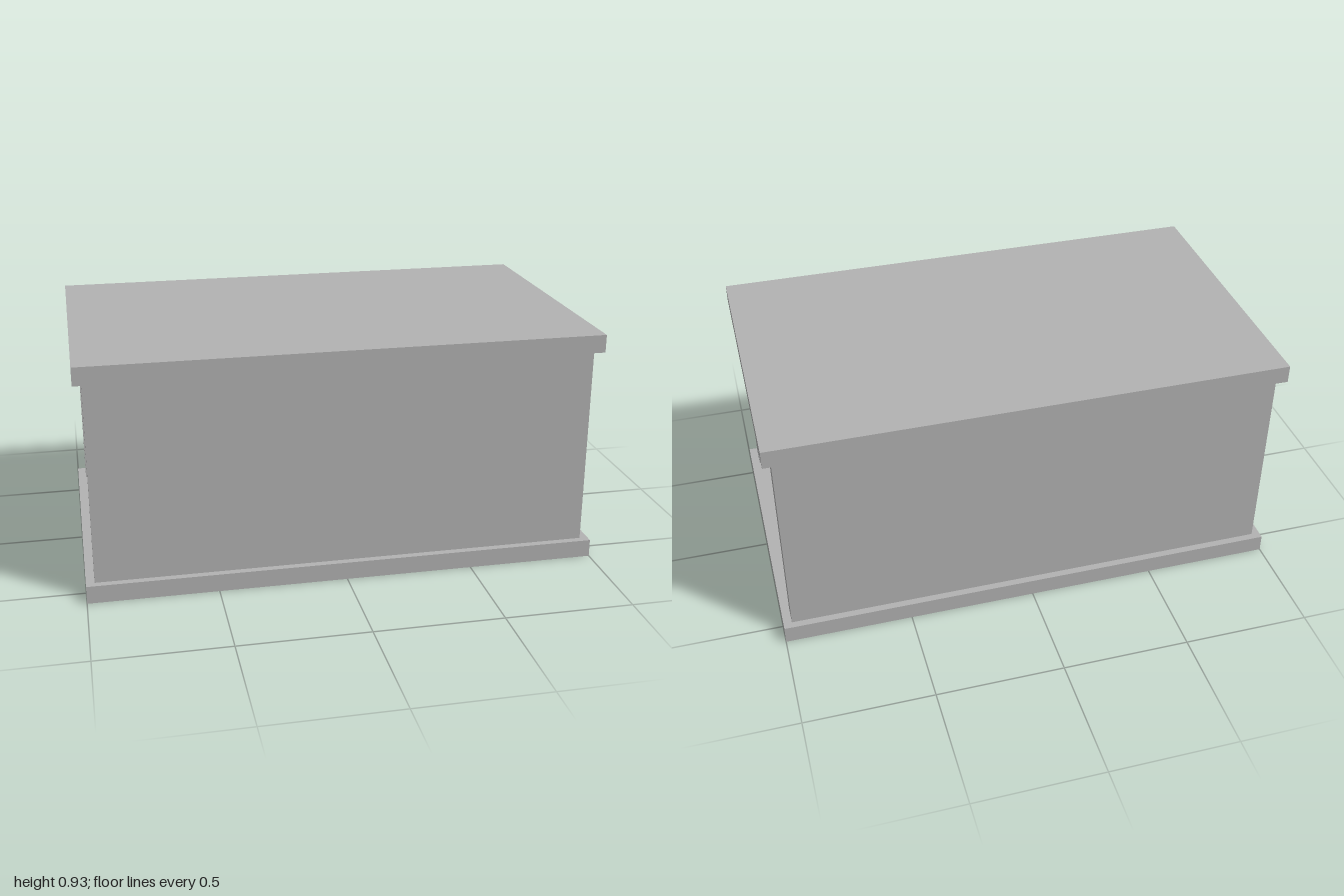
import * as THREE from 'three';

export function createModel() {
  const model = new THREE.Group();
  model.name = 'chest';
  const grey = new THREE.MeshStandardMaterial({ color: 0xb2b2b2 });
  grey.name = 'grey';

  const width = 2, depth = 1.17, height = 0.93, slab = 0.07;
  const wallWidth = 1.934, wallThickness = 0.082, wallOuterZ = 0.557;
  const panelOuterX = 0.927;
  const wallHeight = height - 2 * slab;
  const innerDepth = 2 * (wallOuterZ - wallThickness);

  function box(name, w, h, d, x, y, z) {
    const mesh = new THREE.Mesh(new THREE.BoxGeometry(w, h, d), grey);
    mesh.name = name;
    mesh.position.set(x, y, z);
    model.add(mesh);
  }

  // Overhanging slabs below and above
  box('base', width, slab, depth, 0, slab / 2, 0);
  box('lid', width, slab, depth, 0, height - slab / 2, 0);

  // Long walls, with the end panels set back between them
  for (const side of [1, -1]) {
    box(side > 0 ? 'frontWall' : 'backWall', wallWidth, wallHeight, wallThickness,
      0, height / 2, side * (wallOuterZ - wallThickness / 2));
    box(side > 0 ? 'leftEndPanel' : 'rightEndPanel', wallThickness, wallHeight, innerDepth,
      side * (panelOuterX - wallThickness / 2), height / 2, 0);
  }
  return model;
}
